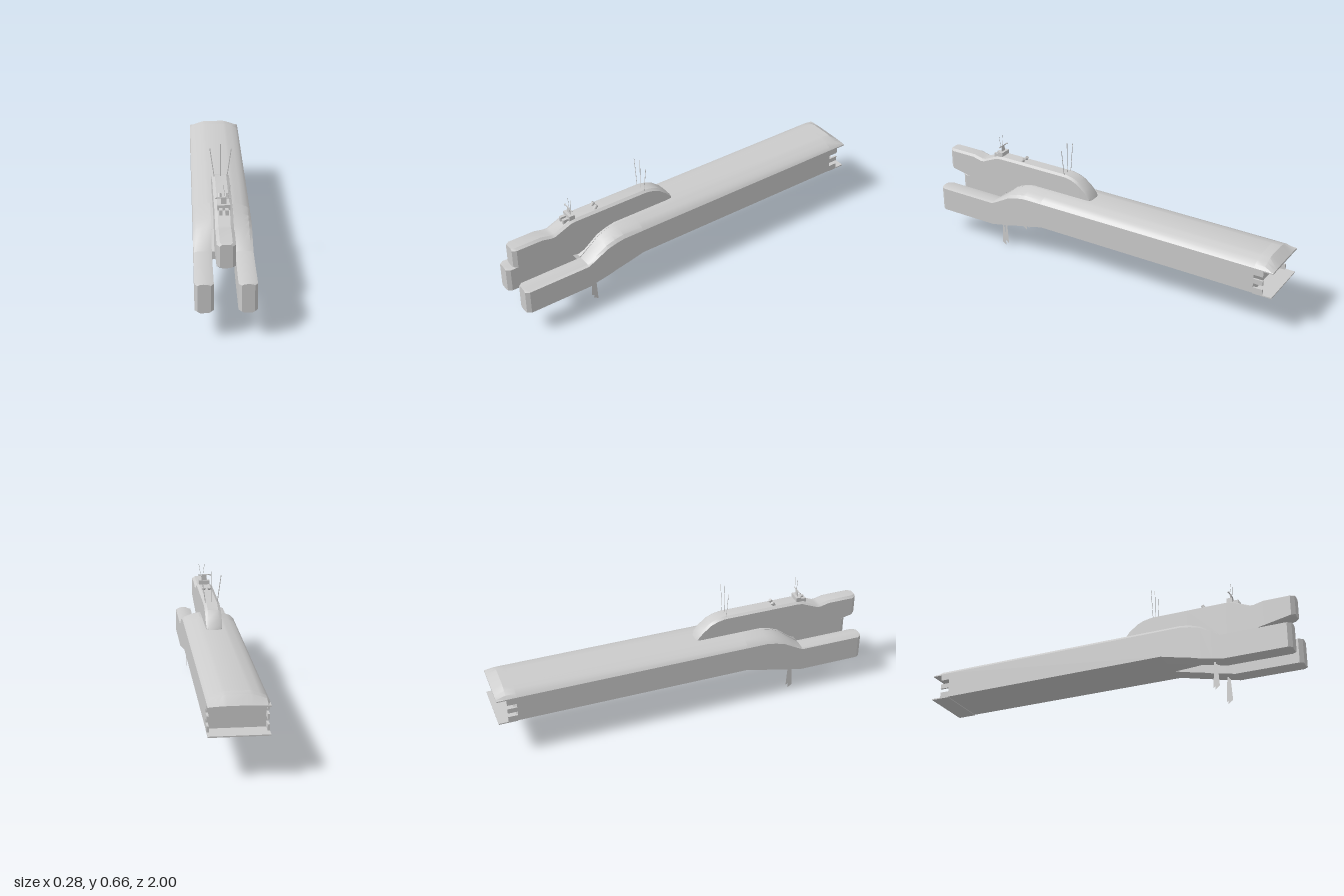
import * as THREE from 'three';
import { toCreasedNormals } from 'three/addons/utils/BufferGeometryUtils.js';

const grey = new THREE.MeshStandardMaterial({ color: 0xcccccc });
const thin = new THREE.MeshStandardMaterial({ color: 0xcccccc, side: THREE.DoubleSide });
const mix = THREE.MathUtils.lerp;

// Loft convex rings [x, y] (counter-clockwise seen from +z), ordered rear to front, with capped ends
function loft(sections, crease = 0.5) {
  const n = sections[0].ring.length, pos = [], idx = [];
  for (const s of sections) for (const [x, y] of s.ring) pos.push(x, y, s.z);
  for (let i = 0; i < sections.length - 1; i++) {
    for (let j = 0; j < n; j++) {
      const k = (j + 1) % n, a = i * n + j, b = i * n + k;
      idx.push(a, b, b + n, a, b + n, a + n);
    }
  }
  const last = (sections.length - 1) * n;
  for (let j = 1; j < n - 1; j++) idx.push(last, last + j, last + j + 1, 0, j + 1, j);
  const g = new THREE.BufferGeometry();
  g.setAttribute('position', new THREE.Float32BufferAttribute(pos, 3));
  g.setIndex(idx);
  return toCreasedNormals(g, crease);
}

const flip = ring => ring.map(([x, y]) => [-x, y]).reverse();
const symmetric = half => [...half, ...flip(half)];

export function createModel() {
  const model = new THREE.Group();
  const add = (name, geometry, x = 0, y = 0, z = 0, material = grey) => {
    const m = new THREE.Mesh(geometry, material);
    m.name = name;
    m.position.set(x, y, z);
    model.add(m);
    return m;
  };
  const box = (name, w, h, d, x, y, z) => add(name, new THREE.BoxGeometry(w, h, d), x, y, z);

  // Main hull: flat sides and floor under an arched roof
  const roofX = [0.142, 0.128, 0.1, 0.072, 0.055];
  const roofY = [0.342, 0.358, 0.369, 0.378, 0.382];
  const roof = roofX.map((x, i) => [x, roofY[i]]);
  const hullRing = symmetric([[0.142, 0.203], ...roof]);
  add('mainHull', loft([{ z: -0.9, ring: hullRing }, { z: 0.33, ring: hullRing }]));

  // Roof overhang at the stern, sloping down to its rear edge
  const overhang = top => symmetric([[0.142, 0.336], ...top]);
  const low = roof.map(([x, y]) => [x, mix(0.341, y, 0.12)]);
  add('sternRoof', loft([
    { z: -1, ring: overhang(low) }, { z: -0.95, ring: overhang(roof) }, { z: -0.9, ring: overhang(roof) },
  ]));
  box('sternFloor', 0.284, 0.006, 0.1, 0, 0.203, -0.95);

  // Two forward prongs dropping from the hull's shoulders
  const prongTop = [0.26, 0.265, 0.267, 0.265, 0.26];
  const stations = [ // z, bottom, drop of the top from hull to prong
    [0.33, 0.203, 0], [0.44, 0.174, 0], [0.49, 0.162, 0.1], [0.54, 0.147, 0.27],
    [0.6, 0.136, 0.68], [0.65, 0.125, 1], [0.98, 0.125, 1], [1, 0.125, 1],
  ];
  const prong = stations.map(([z, b, k]) => {
    const e = 0.006 * Math.min(1, (z - 0.33) / 0.2);
    const top = roofX.map((x, i) => [x, mix(roofY[i], prongTop[i], k)]);
    let ring = [[0.125, b], [0.142, b + e], ...top, [0.055, b + e], [0.072, b]];
    // pinch the tip to chamfer its corners
    if (z === 1) ring = ring.map(([x, y]) => [mix(0.0985, x, 0.68), y]);
    return { z, ring };
  });
  add('leftProng', loft(prong));
  add('rightProng', loft(prong.map(s => ({ z: s.z, ring: flip(s.ring) }))));

  // Sloping deck between the prongs
  const deck = [[0.33, 0.203, 0], [0.44, 0.209, 0], [0.49, 0.213, 0.1], [0.54, 0.217, 0.27],
    [0.6, 0.221, 0.68], [0.65, 0.225, 1]];
  add('centreDeck', loft(deck.map(([z, b, k]) => {
    const t = mix(0.382, 0.265, k);
    return { z, ring: symmetric([[0.055, b], [0.055, t]]) };
  })));

  // Upper hull, rounded at the back and overhanging at the front
  const upper = [ // z, bottom, top, half width
    [0.08, 0.35, 0.378, 0.03], [0.093, 0.35, 0.4, 0.041], [0.12, 0.35, 0.432, 0.043],
    [0.165, 0.35, 0.468, 0.043], [0.2, 0.35, 0.483, 0.043], [0.24, 0.35, 0.491, 0.043],
    [0.44, 0.35, 0.491, 0.043], [0.65, 0.271, 0.491, 0.043], [0.68, 0.277, 0.488, 0.043],
    [0.77, 0.297, 0.449, 0.043], [0.79, 0.302, 0.448, 0.043], [0.84, 0.312, 0.46, 0.043],
    [0.98, 0.341, 0.46, 0.043], [1, 0.346, 0.459, 0.029],
  ];
  add('upperHull', loft(upper.map(([z, b, t, w]) => ({
    z, ring: symmetric([[w * 0.66, b], [w, b + 0.006], [w, t - 0.009], [w * 0.66, t]]),
  }))));

  // Bridge with mast and crossbar
  box('bridge', 0.06, 0.03, 0.03, 0, 0.498, 0.665);
  box('mast', 0.026, 0.034, 0.003, 0, 0.528, 0.665);
  box('crossbar', 0.068, 0.005, 0.003, 0, 0.544, 0.665);
  add('lamp', new THREE.SphereGeometry(0.005, 10, 8), -0.036, 0.543, 0.665);

  // Flat aerial strip between two points in a plane of constant z
  const aerial = (name, x0, y0, x1, y1, z, w) => {
    const h = Math.hypot(x1 - x0, y1 - y0);
    const m = box(name, w, h, 0.001, (x0 + x1) / 2, (y0 + y1) / 2, z);
    m.rotation.z = Math.atan2(x0 - x1, y1 - y0);
  };
  aerial('mastAerial', 0.007, 0.545, -0.002, 0.607, 0.665, 0.002);
  aerial('mastAerial', 0.02, 0.545, 0.03, 0.607, 0.665, 0.002);
  aerial('tallAerial', 0, 0.48, 0, 0.66, 0.25, 0.004);

  // One notched stern wall, seen from the side
  for (const s of [-1, 1]) {
    for (const [y0, y1] of [[0.206, 0.235], [0.257, 0.283], [0.305, 0.338]]) {
      box('sternTooth', 0.01, y1 - y0, 0.05, s * 0.137, (y0 + y1) / 2, -0.925);
    }
    aerial('sideAerial', s * 0.03, 0.475, s * 0.053, 0.637, 0.25, 0.004);
    box('bridgeFrontBox', 0.016, 0.025, 0.03, s * 0.014, 0.486, 0.695);

    // Tilted deck drums
    const drum = add('deckDrum', new THREE.CylinderGeometry(0.009, 0.009, 0.022, 16), s * 0.015, 0.497, 0.523);
    drum.rotation.x = -0.6;

    // Paired thin fins hanging under each prong
    const fin = new THREE.Shape([[0.598, 0.14], [0.607, 0.14], [0.615, 0.018], [0.59, 0]]
      .map(([z, y]) => new THREE.Vector2(-z, y)));
    for (const d of [-0.012, 0.012]) {
      add('lowerFin', new THREE.ShapeGeometry(fin), s * 0.0985 + d, 0, 0, thin).rotation.y = Math.PI / 2;
    }
  }
  return model;
}
